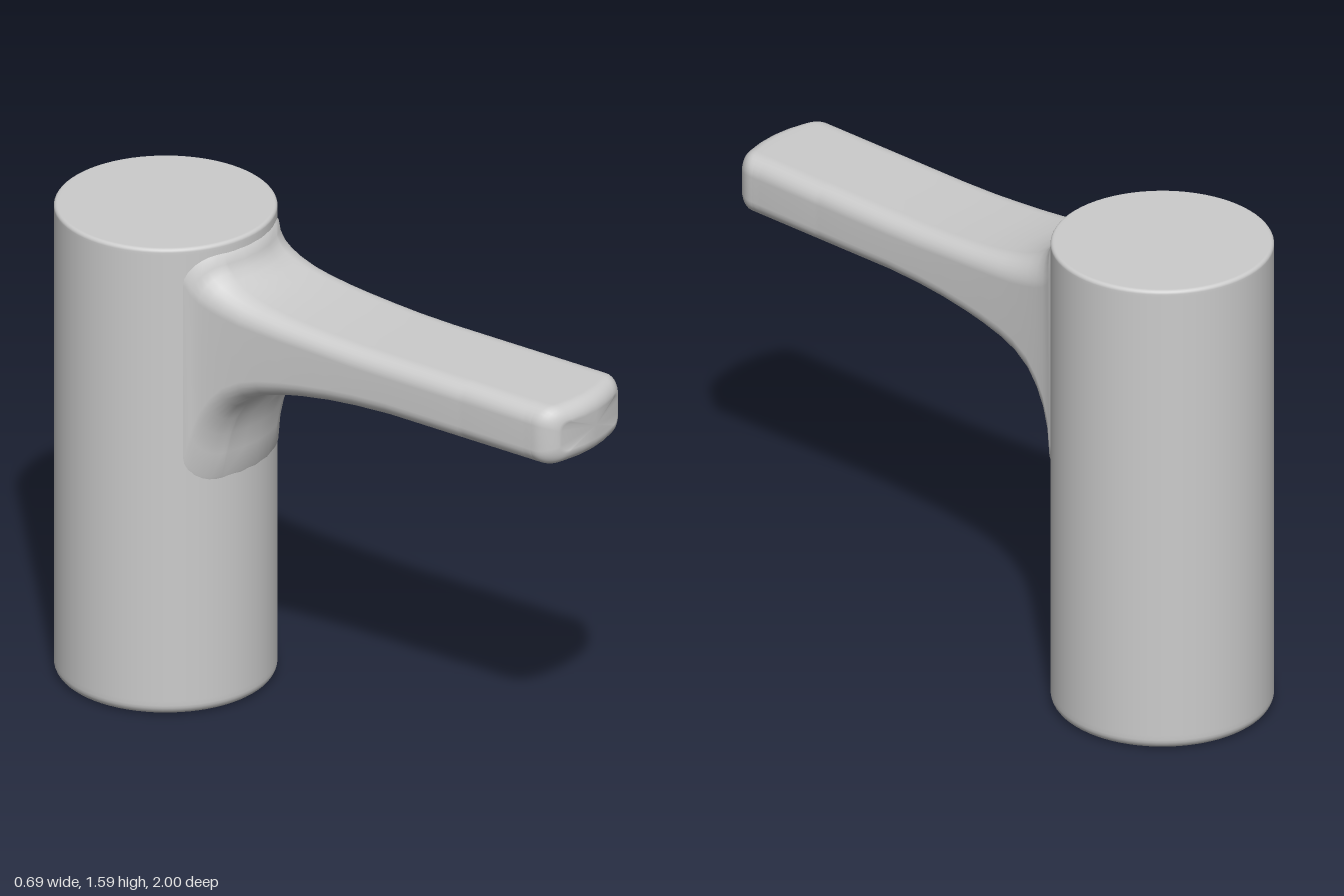
import * as THREE from 'three';

const R = 0.345, BODY_Z = -0.655, HEIGHT = 1.59;
const material = new THREE.MeshStandardMaterial({ color: 0xcccccc, roughness: 0.5 });
const { smoothstep, clamp } = THREE.MathUtils;

// Upright cylinder with a rounded foot and a fine top edge
function bodyGeometry() {
  const pts = [[0, 0], [R - 0.04, 0]];
  const arc = (r, cy, from) => {
    for (let k = 0; k <= 6; k++) {
      const a = from + (k / 6) * Math.PI / 2;
      pts.push([R - r + r * Math.cos(a), cy + r * Math.sin(a)]);
    }
  };
  arc(0.035, 0.035, -Math.PI / 2);
  pts.push([R, 0.05], [R, HEIGHT - 0.02]);
  arc(0.012, HEIGHT - 0.012, 0);
  pts.push([R - 0.02, HEIGHT], [0, HEIGHT]);
  return new THREE.LatheGeometry(pts.map(p => new THREE.Vector2(...p)), 72);
}

// Rounded rectangle, counter-clockwise seen from the tip
function section(w, top, bottom, r) {
  const pts = [], flat = [-0.93, -0.88, -0.45, 0, 0.45, 0.88, 0.93];
  const corner = (sx, sy, from) => {
    for (let k = 0; k <= 6; k++) {
      const a = from + (k / 6) * Math.PI / 2;
      pts.push([sx * (w - r) + r * Math.cos(a), (sy > 0 ? top - r : bottom + r) + r * Math.sin(a), false]);
    }
  };
  flat.forEach(f => pts.push([f * (w - r), bottom, Math.abs(f) < 0.9]));
  corner(1, -1, -Math.PI / 2);
  corner(1, 1, 0);
  flat.forEach(f => pts.push([-f * (w - r), top, false]));
  corner(-1, 1, Math.PI / 2);
  corner(-1, -1, Math.PI);
  return pts;
}

// Spout lofted from the flared root to the rounded, bowed tip
function spoutGeometry() {
  // z, top, bottom, half width, corner radius
  const rows = [
    [-0.34, 1.575, 0.74, 0.25, 0.09],
    [-0.305, 1.55, 0.80, 0.24, 0.09],
    [-0.298, 1.52, 0.88, 0.232, 0.088],
    [-0.285, 1.495, 0.95, 0.226, 0.085],
    [-0.265, 1.475, 1.01, 0.221, 0.08],
    [-0.235, 1.456, 1.065, 0.216, 0.075],
    [-0.19, 1.438, 1.107, 0.211, 0.07],
    [-0.14, 1.426, 1.133, 0.207, 0.065],
    [-0.07, 1.415, 1.155, 0.203, 0.06],
    [0, 1.408, 1.17, 0.2, 0.057],
    [0.1, 1.401, 1.185, 0.197, 0.055],
    [0.2, 1.396, 1.194, 0.195, 0.055],
    [0.33, 1.394, 1.2, 0.193, 0.055],
  ];
  for (const z of [0.5, 0.61, 0.62, 0.63, 0.75, 0.86, 0.87, 0.88, 0.9, 0.925]) rows.push([z, 1.394, 1.2, 0.193, 0.055]);
  for (let k = 0; k <= 8; k++) {
    const a = (k / 8) * Math.PI / 2, inset = 0.05 * (1 - Math.cos(a));
    rows.push([0.95 + 0.05 * Math.sin(a), 1.394 - inset, 1.2 + inset, 0.193 - inset, 0.055 - 0.6 * inset]);
  }

  const pos = [], idx = [];
  let n = 0;
  for (const [z, top, bottom, w, r] of rows) {
    const pts = section(w, top, bottom, r);
    n = pts.length;
    const wrap = clamp(-z / 0.3, 0, 1) ** 2;
    const bow = smoothstep(z, 0.88, 0.95);
    for (const [x, y, inRecess] of pts) {
      // Root follows the cylinder, tip is bowed in plan
      const dz = wrap * (Math.sqrt(R * R - x * x) - R) - bow * 0.045 * (x / 0.19) ** 2;
      // Outlet recess under the tip, deepest toward the front
      const cut = inRecess && z > 0.615 && z < 0.875 ? 0.012 + 0.03 * (z - 0.62) / 0.25 : 0;
      pos.push(x, y + cut, z + dz);
    }
  }
  for (let i = 0; i < rows.length - 1; i++) {
    for (let j = 0; j < n; j++) {
      const a = i * n + j, b = i * n + (j + 1) % n;
      idx.push(a, b, b + n, a, b + n, a + n);
    }
  }
  // Tip face
  const last = (rows.length - 1) * n, centre = rows.length * n;
  pos.push(0, 1.297, 1);
  for (let j = 0; j < n; j++) idx.push(centre, last + j, last + (j + 1) % n);

  const g = new THREE.BufferGeometry();
  g.setAttribute('position', new THREE.Float32BufferAttribute(pos, 3));
  g.setIndex(idx);
  g.computeVertexNormals();
  return g;
}

export function createModel() {
  const group = new THREE.Group();
  group.name = 'tap';
  const body = new THREE.Mesh(bodyGeometry(), material);
  body.name = 'body';
  body.position.z = BODY_Z;
  const spout = new THREE.Mesh(spoutGeometry(), material);
  spout.name = 'spout';
  group.add(body, spout);
  return group;
}
